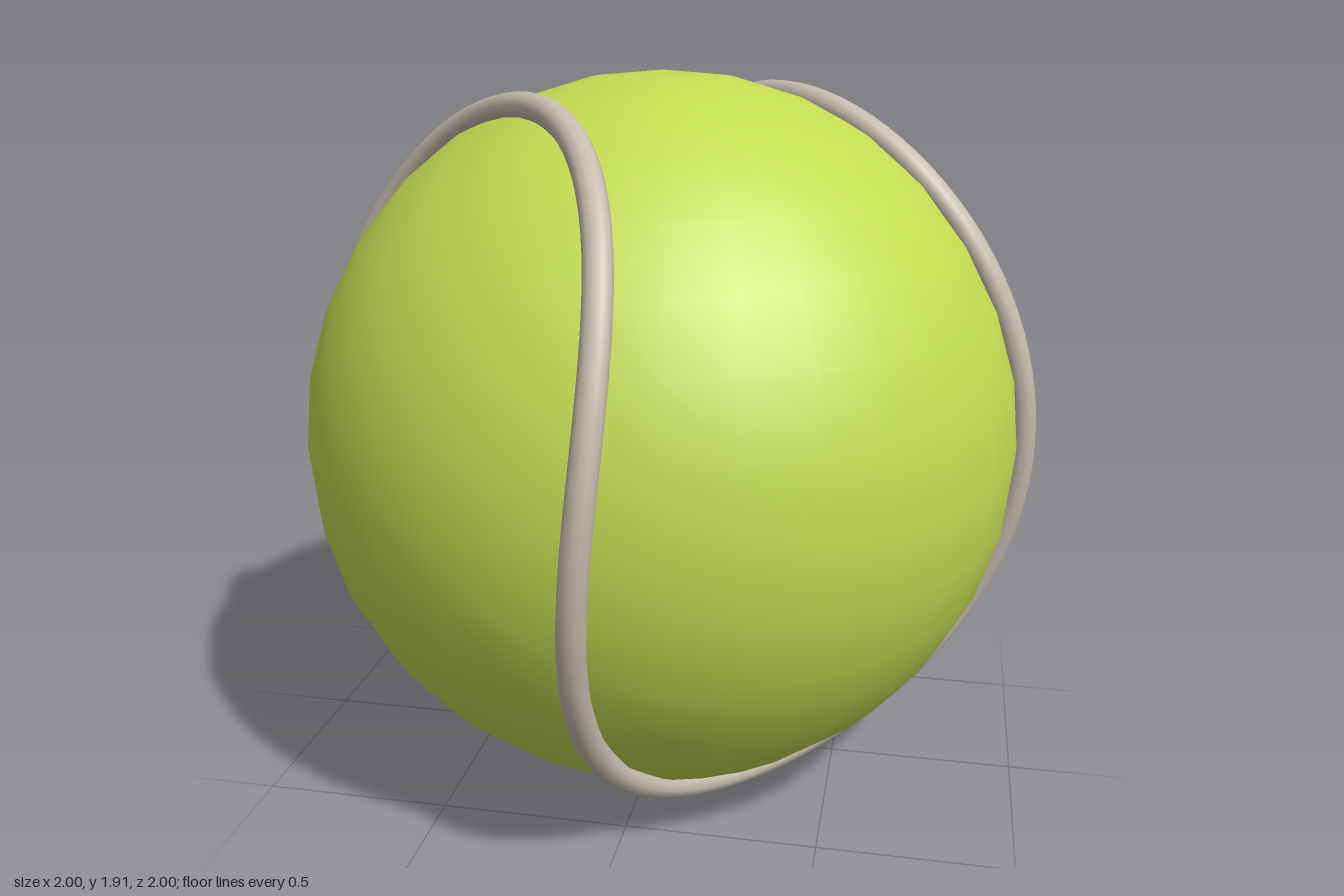
import * as THREE from 'three';

const BALL_RADIUS = 0.955;
const SEAM_PATH_RADIUS = 0.965;
const SEAM_THICKNESS = 0.035;

// Closed seam curve lying on a sphere: two interlocking lobes
class SeamCurve extends THREE.Curve {
  getPoint(t, target = new THREE.Vector3()) {
    const a = 0.705, b = 1 - a, c = 2 * Math.sqrt(a * b);
    const u = t * Math.PI * 2;
    return target.set(
      a * Math.cos(u) + b * Math.cos(3 * u),
      -c * Math.sin(2 * u),
      a * Math.sin(u) - b * Math.sin(3 * u)
    ).multiplyScalar(SEAM_PATH_RADIUS);
  }
}

export function createModel() {
  const felt = new THREE.MeshStandardMaterial({ color: 0xc3dc52 });
  felt.name = 'yellow green felt';
  const rubber = new THREE.MeshStandardMaterial({ color: 0xc6bcae });
  rubber.name = 'warm grey seam';

  const model = new THREE.Group();
  model.name = 'ball';

  // Felt body
  const body = new THREE.Mesh(new THREE.SphereGeometry(BALL_RADIUS, 32, 16), felt);
  body.name = 'body';

  // Raised seam
  const seam = new THREE.Mesh(
    new THREE.TubeGeometry(new SeamCurve(), 200, SEAM_THICKNESS, 12, true), rubber);
  seam.name = 'seam';

  for (const part of [body, seam]) {
    part.position.y = BALL_RADIUS;
    model.add(part);
  }
  return model;
}
